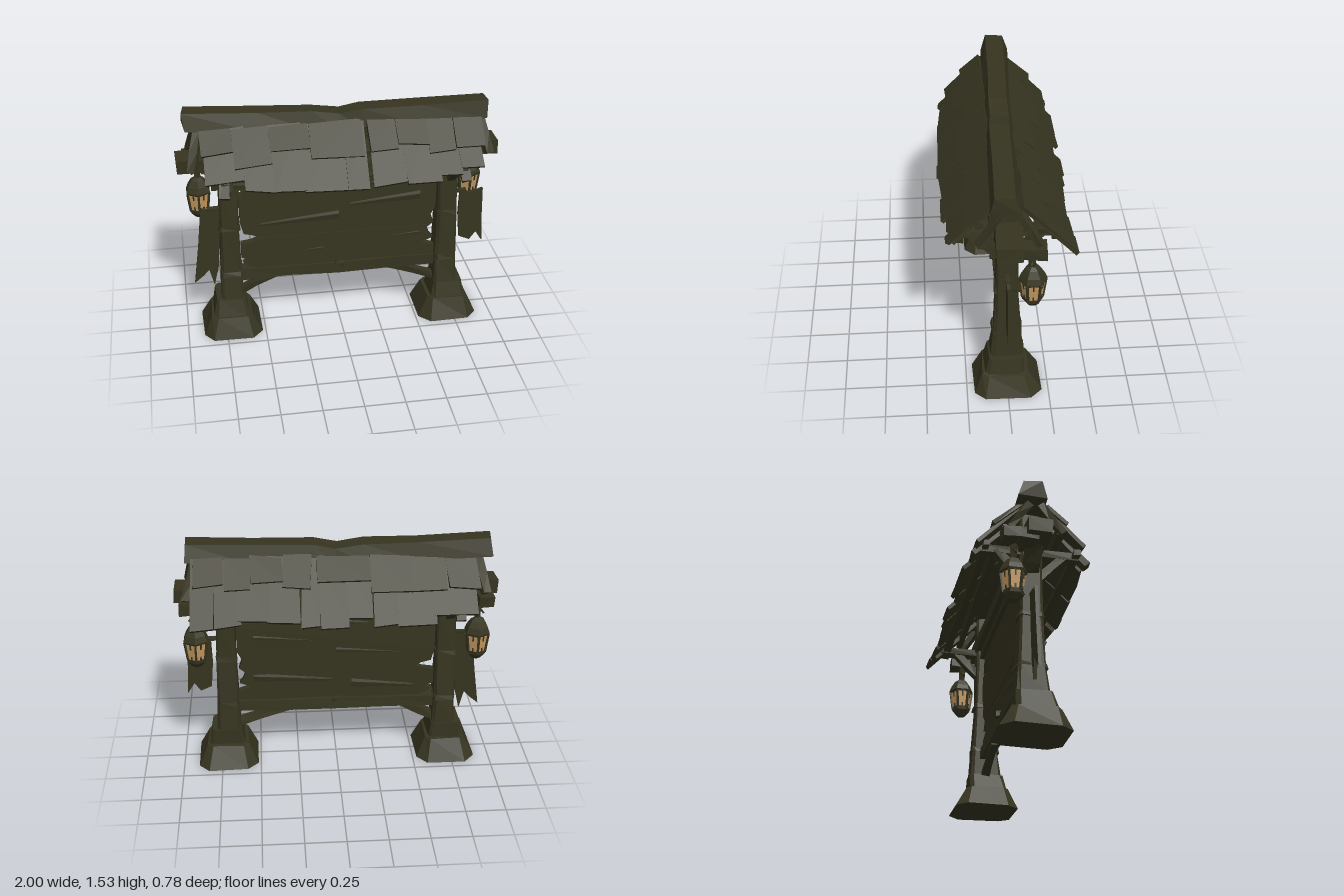
import * as THREE from 'three';

const wood = new THREE.MeshStandardMaterial({ color: 0x363420 });
wood.name = 'dark olive wood';
const glow = new THREE.MeshStandardMaterial({ color: 0xc4985f });
glow.name = 'amber glass';

const V = (x, y, z) => new THREE.Vector3(x, y, z);
let seed = 11;
const rnd = () => (seed = (seed * 16807) % 2147483647) / 2147483647 - 0.5;

// Faceted solid through a list of rings with equal point counts
function loft(rings) {
  const tris = [];
  const n = rings[0].length;
  for (let r = 0; r < rings.length - 1; r++) {
    for (let i = 0; i < n; i++) {
      const j = (i + 1) % n;
      const [a, b, c, d] = [rings[r][i], rings[r][j], rings[r + 1][j], rings[r + 1][i]];
      tris.push([a, b, c], [a, c, d]);
    }
  }
  const end = rings[rings.length - 1];
  for (let i = 1; i < n - 1; i++) {
    tris.push([rings[0][0], rings[0][i + 1], rings[0][i]], [end[0], end[i], end[i + 1]]);
  }
  // Turn the solid the right way out by its signed volume
  let vol = 0;
  const o = rings[0][0], t = V(0, 0, 0);
  for (const [a, b, c] of tris) {
    vol += a.clone().sub(o).dot(t.crossVectors(b.clone().sub(o), c.clone().sub(o)));
  }
  const pts = tris.flatMap(([a, b, c]) => (vol < 0 ? [a, c, b] : [a, b, c]));
  const g = new THREE.BufferGeometry().setFromPoints(pts);
  g.computeVertexNormals();
  return g;
}

function add(parent, name, geometry, material = wood) {
  const m = new THREE.Mesh(geometry, material);
  m.name = name;
  parent.add(m);
}

// Rough-hewn bar from a to b, w wide and h high
function beam(a, b, w, h, rough = 0.012, steps = 2) {
  const d = b.clone().sub(a).normalize();
  const side = V(0, 1, 0).cross(d);
  if (side.length() < 0.1) side.set(1, 0, 0);
  side.normalize();
  const up = d.clone().cross(side);
  const rings = [];
  for (let k = 0; k <= steps; k++) {
    const c = a.clone().lerp(b, k / steps);
    rings.push([[-1, -1], [1, -1], [1, 1], [-1, 1]].map(([u, v]) => c.clone()
      .addScaledVector(side, u * w / 2 + rnd() * rough)
      .addScaledVector(up, v * h / 2 + rnd() * rough)
      .addScaledVector(d, rnd() * rough)));
  }
  return loft(rings);
}

// Horizontal chamfered rectangle
function slab(cx, y, cz, hx, hz, cut, rough = 0.01) {
  const kx = hx * (1 - cut), kz = hz * (1 - cut);
  return [[kx, -hz], [hx, -kz], [hx, kz], [kx, hz], [-kx, hz], [-hx, kz], [-hx, -kz], [-kx, -hz]]
    .map(([x, z]) => V(cx + x + rnd() * rough, y + rnd() * rough, cz + z + rnd() * rough));
}

// Flat board cut from an outline in the xy plane
function board(outline, depth, z) {
  const shape = new THREE.Shape(outline.map(([x, y]) => new THREE.Vector2(x, y)));
  return new THREE.ExtrudeGeometry(shape, { depth, bevelEnabled: false }).translate(0, 0, z - depth / 2);
}

function lantern() {
  const g = new THREE.Group();
  g.name = 'lantern';
  const at = (k, r, y) => V(Math.sin(k * Math.PI / 3) * r, y, Math.cos(k * Math.PI / 3) * r);
  const hex = (r, y) => [0, 1, 2, 3, 4, 5].map((k) => at(k, r, y));
  add(g, 'lanternBase', loft([hex(0.03, 0.755), hex(0.06, 0.79), hex(0.065, 0.815)]));
  add(g, 'lanternGlass', loft([hex(0.06, 0.81), hex(0.076, 0.935)]), glow);
  add(g, 'lanternRoof', loft([hex(0.078, 0.925), hex(0.084, 0.938), hex(0.07, 0.975), hex(0.045, 1.015), hex(0.014, 1.035)]));
  for (let k = 0; k < 6; k++) {
    add(g, 'lanternBar', beam(at(k, 0.06, 0.805), at(k, 0.076, 0.93), 0.013, 0.013, 0.003, 1));
    add(g, 'lanternMullion', beam(at(k + 0.5, 0.053, 0.81), at(k + 0.5, 0.057, 0.84), 0.009, 0.006, 0.002, 1));
    add(g, 'lanternMullion', beam(at(k + 0.5, 0.0615, 0.89), at(k + 0.5, 0.067, 0.93), 0.009, 0.006, 0.002, 1));
  }
  add(g, 'lanternHook', beam(V(0, 1.02, 0), V(0.012, 1.16, 0.01), 0.03, 0.03, 0.012));
  for (const s of [-1, 1]) add(g, 'lanternRope', beam(V(s * 0.008, 1.09, 0), V(s * 0.035, 1.055, 0.01), 0.012, 0.012, 0.006, 1));
  return g;
}

export function createModel() {
  const model = new THREE.Group();
  model.name = 'noticeBoard';

  for (const s of [-1, 1]) {
    // Footing, stepped plinth and tapering post
    const x = s * 0.71;
    add(model, 'footing', loft([slab(x, 0.012, 0, 0.19, 0.207, 0.34), slab(x, 0.145, 0.01, 0.13, 0.142, 0.25)]));
    add(model, 'plinth', loft([slab(x + s * 0.005, 0.13, 0.02, 0.116, 0.125, 0.2), slab(x + s * 0.003, 0.25, 0.003, 0.096, 0.108, 0.2)]));
    add(model, 'post', loft([
      slab(s * 0.7, 0.24, 0.005, 0.074, 0.1, 0.2), slab(s * 0.698, 0.42, 0, 0.066, 0.083, 0.2),
      slab(s * 0.697, 0.74, 0, 0.061, 0.066, 0.2), slab(s * 0.693, 1.02, 0, 0.06, 0.066, 0.2),
      slab(s * 0.693, 1.42, 0, 0.06, 0.066, 0.2)]));
    add(model, 'postBand', loft([slab(s * 0.698, 0.412, 0, 0.07, 0.092, 0.2), slab(s * 0.698, 0.445, 0, 0.068, 0.084, 0.2)]));
    add(model, 'postBand', loft([slab(s * 0.697, 0.735, 0, 0.068, 0.076, 0.2), slab(s * 0.697, 0.765, 0, 0.063, 0.072, 0.2)]));

    // Braces beside the post
    add(model, 'upperBrace', beam(V(s * 0.67, 0.99, 0.01), V(s * 0.48, 1.14, 0.01), 0.05, 0.04));
    add(model, 'outerBrace', beam(V(s * 0.71, 1.01, 0), V(s * 0.83, 1.17, 0), 0.1, 0.05));
    add(model, 'lowerBrace', beam(V(s * 0.68, 0.235, 0), V(s * (s > 0 ? 0.32 : 0.42), 0.365, 0), 0.05, 0.045));

    // Tie beam and struts under the eaves
    add(model, 'tieBeam', beam(V(s * 0.71, 1.165, -0.31), V(s * 0.71, 1.165, 0.31), 0.07, 0.045));
    for (const f of [-1, 1]) {
      add(model, 'eaveStrut', beam(V(s * 0.71, 1.0, f * 0.05), V(s * 0.72, 1.165, f * 0.21), 0.055, 0.045));
      add(model, 'rafter', beam(V(s * 0.71, 1.415, f * 0.06), V(s * 0.73, 1.115, f * 0.345), 0.06, 0.035));
      add(model, 'endRafter', beam(V(s * 0.86, 1.42, f * 0.04), V(s * 0.91, 1.21, f * 0.17), 0.05, 0.04));
    }

    // Lantern and its arm
    add(model, 'lanternArm', beam(V(s * 0.9, 1.17, 0), V(s * 0.91, 1.165, -0.21), 0.1, 0.07));
    const l = lantern();
    l.position.set(s * 0.874, 0, -0.135);
    model.add(l);
  }

  // Long beams
  add(model, 'crossBeam', beam(V(-1, 1.205, 0), V(1, 1.2, 0), 0.15, 0.09, 0.014, 6));
  add(model, 'headerRail', beam(V(-0.66, 1.125, 0), V(0.66, 1.125, 0), 0.09, 0.05, 0.01, 4));
  add(model, 'lowerRail', beam(V(-0.67, 0.39, 0), V(0.67, 0.388, 0), 0.08, 0.075, 0.012, 4));
  for (const f of [-1, 1]) {
    add(model, 'peg', beam(V(0, 0.42, f * 0.03), V(0, 0.42, f * 0.06), 0.05, 0.03, 0.012, 1));
    add(model, 'eavePurlin', beam(V(-0.8, 1.168, f * 0.275), V(0.8, 1.168, f * 0.275), 0.045, 0.035, 0.014, 4));
    add(model, 'middlePurlin', beam(V(-0.82, 1.28, f * 0.165), V(0.82, 1.28, f * 0.165), 0.045, 0.04, 0.014, 4));
  }

  // Splintered panel boards
  const boards = [
    [[-0.61, 0.94], [0.62, 0.94], [0.61, 0.965], [0.45, 0.985], [0.53, 1.0], [0.44, 1.02], [0.55, 1.03], [0.52, 1.06], [0.63, 1.1], [0.63, 1.12], [-0.59, 1.12], [-0.62, 1.0]],
    [[-0.48, 0.63], [0.56, 0.61], [0.62, 0.66], [0.6, 0.72], [0.63, 0.78], [0.63, 0.95], [-0.63, 0.96], [-0.63, 0.76], [-0.61, 0.68], [-0.55, 0.665]],
    [[-0.53, 0.42], [0.63, 0.42], [0.63, 0.49], [0.54, 0.52], [0.62, 0.55], [0.6, 0.57], [0.57, 0.645], [-0.5, 0.645], [-0.56, 0.62], [-0.63, 0.61], [-0.63, 0.51], [-0.58, 0.49], [-0.62, 0.465]],
  ];
  boards.forEach((b, i) => add(model, 'panelBoard', board(b, 0.045, [0.003, -0.002, 0.004][i])));
  // Raised splinters on both faces
  for (const f of [-1, 1]) {
    for (const [x, y, w] of [[-0.25, 0.74, 0.5], [0.3, 0.84, 0.45], [-0.3, 0.5, 0.4], [0.28, 0.56, 0.5], [0.1, 0.96, 0.6]]) {
      const z = f * 0.021;
      add(model, 'splinter', loft([
        [V(x - w / 2, y - 0.01, z), V(x - w / 2, y + 0.01, z), V(x - w / 2, y, z + f * 0.003)],
        [V(x + w / 2, y, z), V(x + w / 2, y + 0.06, z), V(x + w / 2, y + 0.04, z + f * 0.008)]]));
    }
  }

  // Torn banners
  add(model, 'rightBanner', board([[-0.87, 0.875], [-0.81, 0.86], [-0.75, 0.88], [-0.765, 0.6], [-0.78, 0.43], [-0.79, 0.4], [-0.81, 0.31], [-0.84, 0.43], [-0.875, 0.39], [-0.935, 0.34], [-0.9, 0.6]], 0.02, 0));
  add(model, 'leftBanner', board([[0.79, 0.875], [0.86, 0.85], [0.94, 0.875], [0.945, 0.68], [0.955, 0.485], [0.91, 0.555], [0.87, 0.5], [0.8, 0.53], [0.785, 0.7]], 0.02, 0));
  for (const s of [-1, 1]) add(model, 'bannerRod', beam(V(s * 0.73, 0.87, 0), V(s * 0.83, 0.865, 0), 0.025, 0.02, 0.006, 1));

  // Sagging ridge cap: x, top height, z shift
  const ridge = [[-0.94, 1.54, -0.028], [-0.5, 1.52, -0.015], [-0.17, 1.515, -0.005], [0, 1.49, 0], [0.14, 1.515, 0.005], [0.5, 1.515, 0.015], [0.91, 1.53, 0.022]];
  add(model, 'ridgeCap', loft(ridge.map(([x, y, z]) => [[-0.09, -0.11], [-0.055, -0.005], [0.058, -0.005], [0.09, -0.11], [0, -0.1]]
    .map(([dz, dy]) => V(x + rnd() * 0.02, y + dy + rnd() * 0.01, z + dz + rnd() * 0.01)))));

  // Shingles: f is the roof side, z0 to z1 run down the slope, lift is off the slope
  function shingle(f, x0, x1, z0, z1, lift) {
    const drop = f > 0 ? 1.05 : 1.09;
    const row = (z, l) => {
      const j = [0, 1].map(() => rnd() * 0.02);
      const k = rnd() * 0.02;
      return [[x0, 0, j[0]], [x1, 0, j[1]], [x1, 0.024, j[1]], [x0, 0.024, j[0]]].map(([x, n, e]) =>
        V(x + k + rnd() * 0.006, 1.412 - (z + e - 0.07) * drop + (l + n) * 0.7, f * (z + e + (l + n) * 0.7)));
    };
    add(model, 'shingle', loft([row(z0, lift * 0.3), row(z1, lift)]));
  }
  // Eave rows: left edge, right edge, eave depth
  const eaves = {
    1: [[-0.84, -0.59, 0.285], [-0.6, -0.42, 0.335], [-0.43, -0.24, 0.34], [-0.25, 0.02, 0.36], [0.01, 0.14, 0.35], [0.165, 0.37, 0.345], [0.36, 0.57, 0.34], [0.56, 0.71, 0.315], [0.7, 0.84, 0.305]],
    '-1': [[-0.84, -0.57, 0.315], [-0.58, -0.35, 0.36], [-0.345, -0.2, 0.36], [-0.195, -0.05, 0.32], [-0.05, 0.12, 0.365], [0.11, 0.22, 0.365], [0.225, 0.42, 0.335], [0.41, 0.6, 0.33], [0.59, 0.75, 0.35], [0.74, 0.88, 0.365]],
  };
  const tops = [-0.85, -0.66, -0.44, -0.2, 0.12, 0.16, 0.33, 0.52, 0.68, 0.86];
  for (const f of [1, -1]) {
    for (const [a, b, z] of eaves[f]) shingle(f, a, b, 0.06, z, 0.006 + (rnd() + 0.5) * 0.012);
    for (let i = 0; i < tops.length - 1; i++) {
      if (tops[i + 1] - tops[i] < 0.1) continue;
      shingle(f, tops[i], tops[i + 1], 0.055, 0.2 + rnd() * 0.07, 0.026);
    }
  }
  return model;
}
